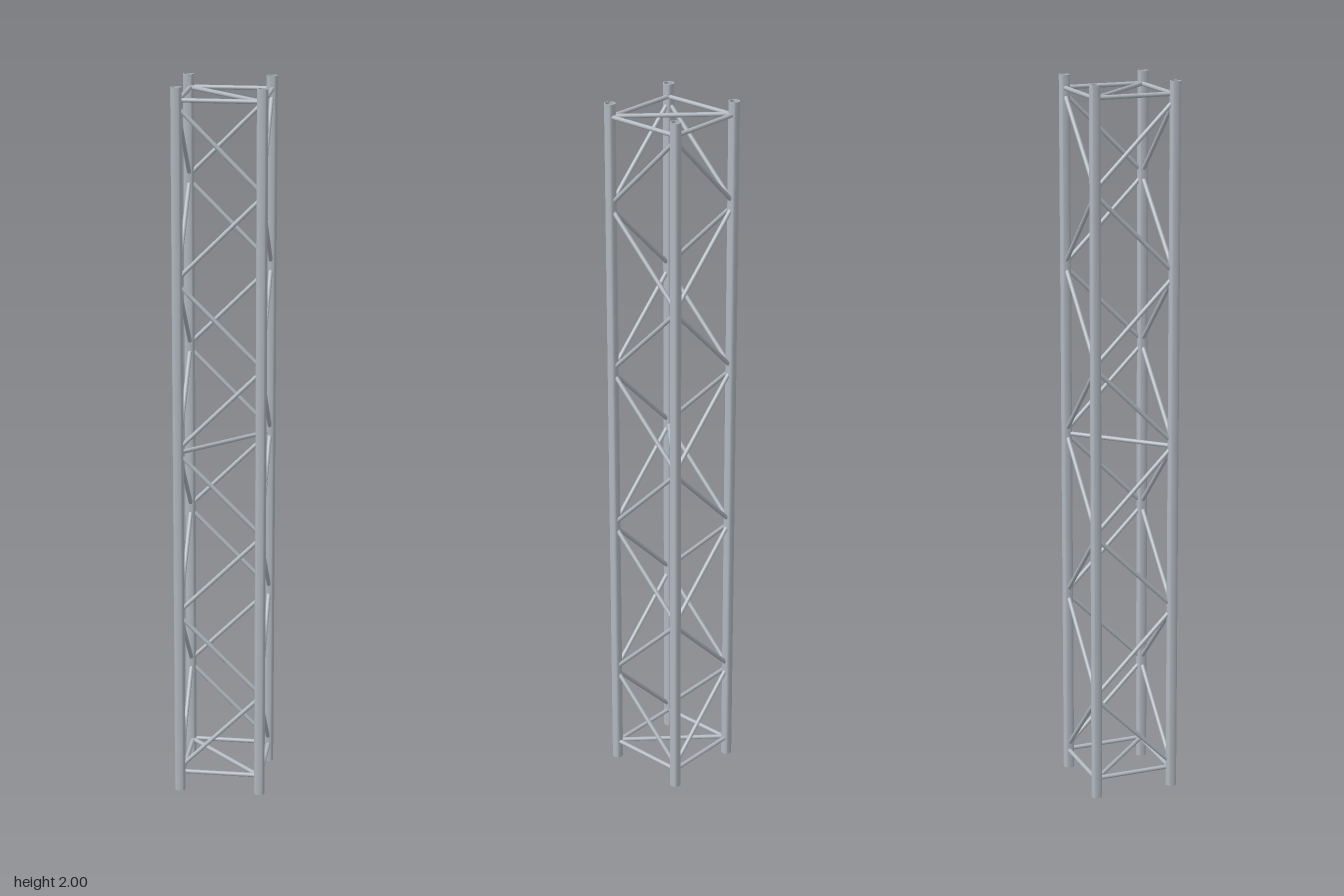
import * as THREE from 'three';
import { toCreasedNormals } from 'three/addons/utils/BufferGeometryUtils.js';

const H = 2;          // tower height
const C = 0.113;      // leg centre offset
const R_OUT = 0.015, R_IN = 0.0122;
const R_BAR = 0.006;

export function createModel() {
  const steel = new THREE.MeshStandardMaterial({ color: 0xb0b7bf });
  steel.name = 'galvanised steel';
  const model = new THREE.Group();
  model.name = 'latticeTower';

  // Round bar between two points
  const up = new THREE.Vector3(0, 1, 0);
  function bar(name, a, b, parent) {
    const p = new THREE.Vector3(...a), q = new THREE.Vector3(...b);
    const dir = q.clone().sub(p);
    const mesh = new THREE.Mesh(new THREE.CylinderGeometry(R_BAR, R_BAR, dir.length(), 16), steel);
    mesh.name = name;
    mesh.position.copy(p).add(q).multiplyScalar(0.5);
    mesh.quaternion.setFromUnitVectors(up, dir.normalize());
    parent.add(mesh);
  }

  // Four hollow legs
  const profile = [[R_OUT, 0], [R_OUT, H], [R_IN, H], [R_IN, 0], [R_OUT, 0]]
    .map(([x, y]) => new THREE.Vector2(x, y));
  const legGeometry = toCreasedNormals(new THREE.LatheGeometry(profile, 32), 0.7);
  for (const x of [-C, C]) for (const z of [-C, C]) {
    const leg = new THREE.Mesh(legGeometry, steel);
    leg.name = 'leg';
    leg.position.set(x, 0, z);
    model.add(leg);
  }

  // Horizontal frames at both ends, each with one diagonal tie
  for (const y of [0.053, 1.965]) {
    const frame = new THREE.Group();
    frame.name = 'endFrame';
    bar('frontRail', [-C, y, 0.109], [C, y, 0.109], frame);
    bar('backRail', [-C, y, -0.115], [C, y, -0.115], frame);
    bar('rightRail', [-0.107, y, -C], [-0.107, y, C], frame);
    bar('leftRail', [0.115, y, -C], [0.115, y, C], frame);
    bar('diagonalTie', [-C, y, -C], [C, y, C], frame);
    model.add(frame);
  }
  // Middle tie runs along the other diagonal
  bar('middleTie', [-C, 1.005, C], [C, 1.005, -C], model);

  // Zigzag lacing on each face; all start at the front-right or back-left leg
  const faces = [
    ['frontLacing', [-C, 0.112], [C, 0.112]],
    ['backLacing', [C, -0.113], [-C, -0.113]],
    ['leftLacing', [0.113, -C], [0.113, C]],
    ['rightLacing', [-0.111, C], [-0.111, -C]],
  ];
  const STEP = 0.2368, HALF = 0.113;
  for (const [name, start, end] of faces) {
    const lacing = new THREE.Group();
    lacing.name = name;
    for (let i = 0; i < 8; i++) {
      const y = 1.838 - i * STEP;
      const [a, b] = i % 2 ? [end, start] : [start, end];
      bar('brace', [a[0], y + HALF, a[1]], [b[0], y - HALF, b[1]], lacing);
    }
    model.add(lacing);
  }
  return model;
}
